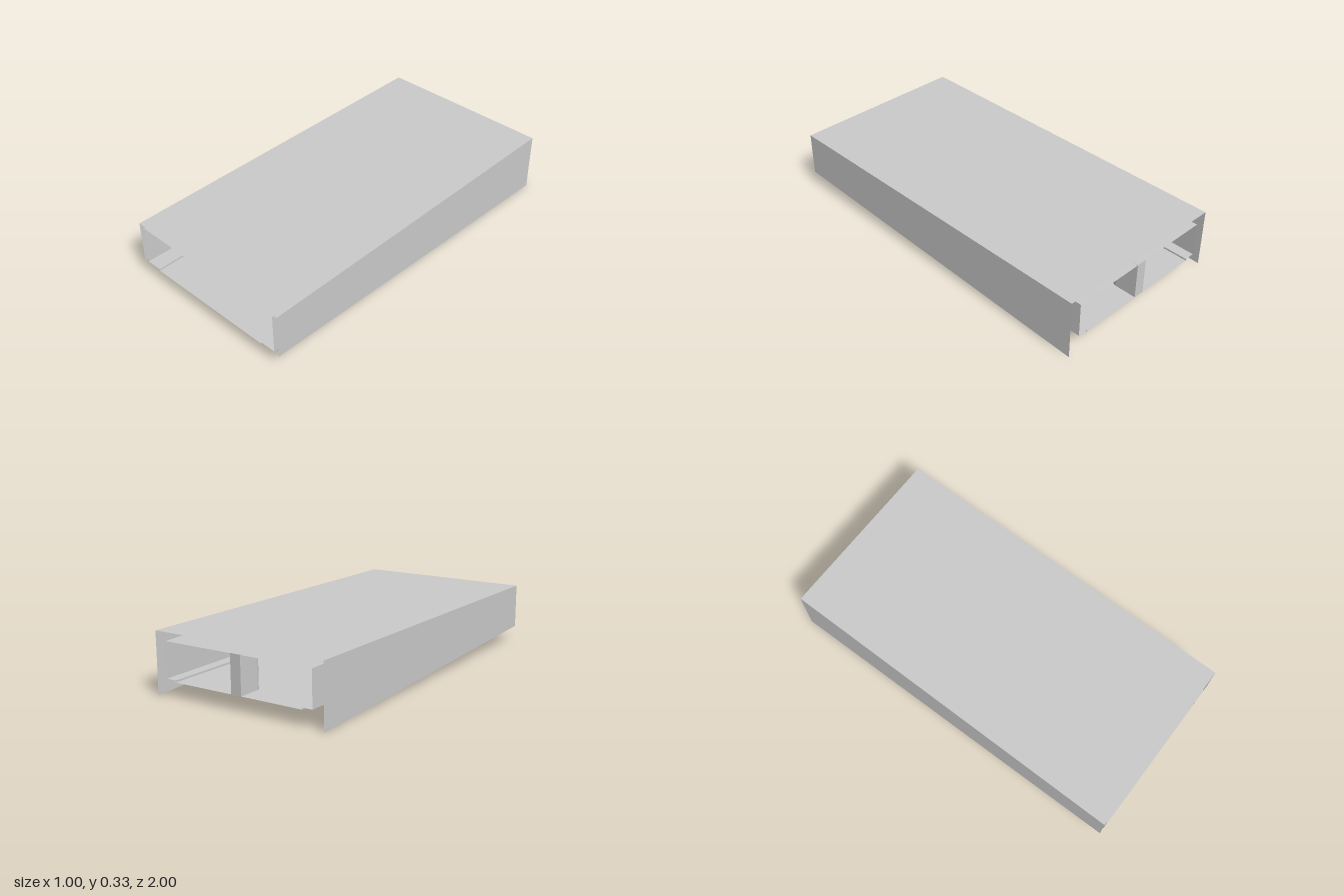
import * as THREE from 'three';

const material = new THREE.MeshStandardMaterial({ color: 0xcccccc, side: THREE.DoubleSide });

// Thin flat-faced sheet lofted between a front outline (z = 1) and a back outline (z = -1)
function loftSheet(name, front, back) {
  const positions = [];
  for (let i = 0; i < front.length - 1; i++) {
    const a = [...front[i], 1], b = [...front[i + 1], 1];
    const c = [...back[i + 1], -1], d = [...back[i], -1];
    positions.push(...a, ...b, ...c, ...a, ...c, ...d);
  }
  const geometry = new THREE.BufferGeometry();
  geometry.setAttribute('position', new THREE.Float32BufferAttribute(positions, 3));
  geometry.computeVertexNormals();
  const mesh = new THREE.Mesh(geometry, material);
  mesh.name = name;
  return mesh;
}

// Outer cover: roof and two side walls, open below and at both ends
const coverOutline = (bottom) => [[-0.5, bottom], [-0.5, 0.33], [0.5, 0.33], [0.5, bottom]];

// Inner duct: closed section with a shallow recess along the floor
function ductOutline(halfWidth, top) {
  const floor = 0.095, recess = 0.085, r = 0.38;
  return [
    [-halfWidth, floor], [-halfWidth, top], [halfWidth, top], [halfWidth, floor],
    [r, floor], [r, recess], [-r, recess], [-r, floor], [-halfWidth, floor],
  ];
}

// Central post: flat back, straight sides and a rounded nose towards the front
function createPost() {
  const radius = 0.03, bottom = 0.085, top = 0.286;
  const plan = new THREE.Shape();
  plan.moveTo(-radius, 1);
  plan.lineTo(radius, 1);
  plan.lineTo(radius, 0.88);
  plan.absarc(0, 0.88, radius, 0, -Math.PI, true);
  plan.closePath();
  const geometry = new THREE.ExtrudeGeometry(plan, {
    depth: top - bottom, bevelEnabled: false, curveSegments: 24,
  });
  geometry.rotateX(-Math.PI / 2);
  geometry.translate(0, bottom, 0);
  // Smooth the rounded nose, leaving caps and flat sides as they are
  const p = geometry.attributes.position, n = geometry.attributes.normal;
  for (let i = 0; i < p.count; i++) {
    if (Math.abs(n.getY(i)) > 0.5 || p.getZ(i) < -0.8801) continue;
    n.setXYZ(i, p.getX(i) / radius, 0, (p.getZ(i) + 0.88) / radius);
  }
  const mesh = new THREE.Mesh(geometry, material);
  mesh.name = 'centerPost';
  return mesh;
}

export function createModel() {
  const model = new THREE.Group();
  model.name = 'taperedDuct';
  model.add(
    loftSheet('outerCover', coverOutline(0.083), coverOutline(0)),
    loftSheet('innerDuct', ductOutline(0.47, 0.315), ductOutline(0.437, 0.285)),
    createPost(),
  );
  return model;
}
